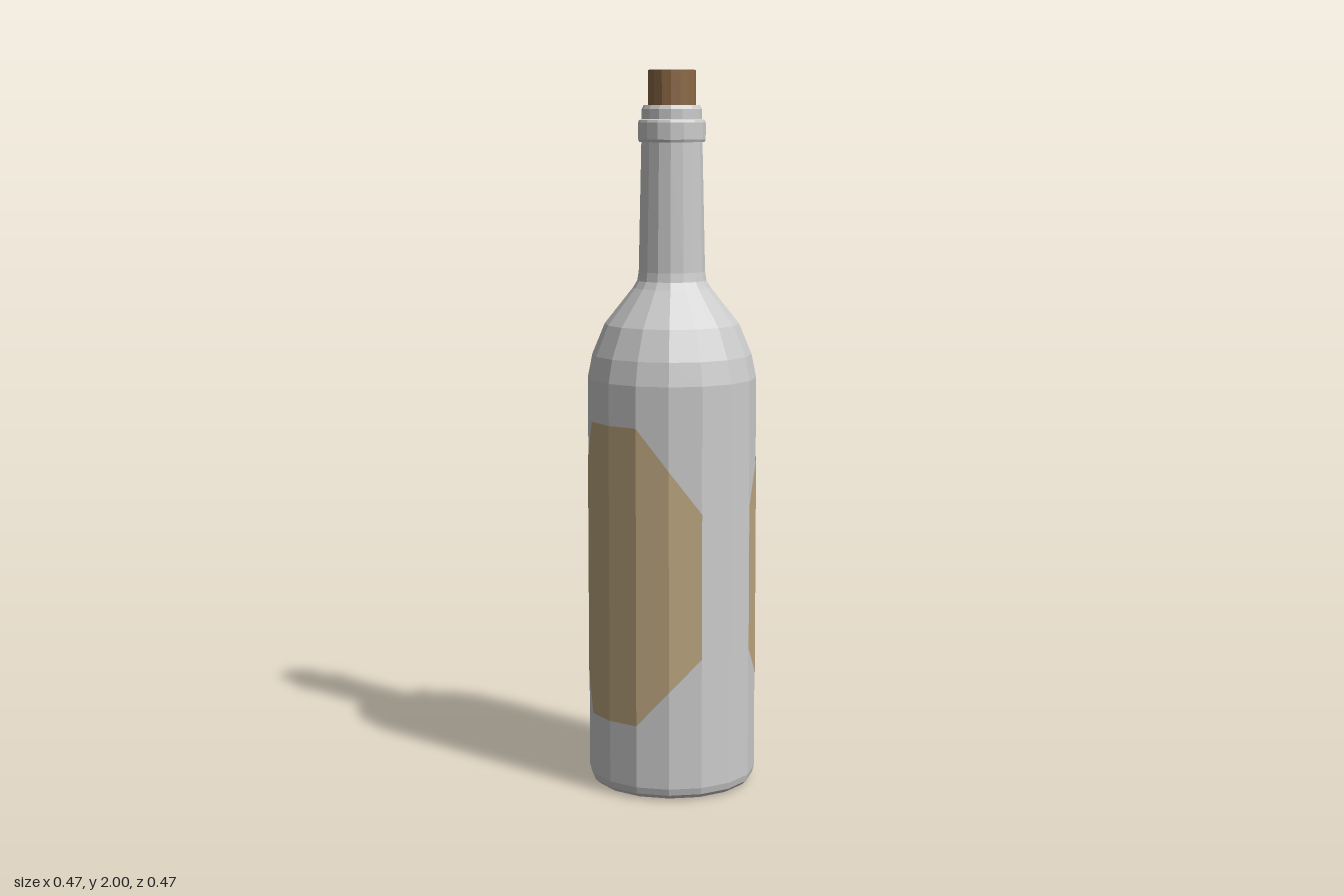
import * as THREE from 'three';

const SIDES = 16;

function material(color, side = THREE.FrontSide) {
  return new THREE.MeshStandardMaterial({ color, flatShading: true, side });
}

function part(name, geometry, mat) {
  const mesh = new THREE.Mesh(geometry, mat);
  mesh.name = name;
  return mesh;
}

function lathe(profile) {
  return new THREE.LatheGeometry(profile.map(([r, y]) => new THREE.Vector2(r, y)), SIDES);
}

// Label wrapped over six facets, with its corners cut off
function labelGeometry(radius) {
  const spans = [[0.21, 1.04], [0.21, 1.04], [0.31, 0.925], [0.4, 0.805]]; // [bottom, top] outward from centre
  const positions = [];
  const index = [];
  for (let k = -3; k <= 3; k++) {
    const angle = (k / SIDES) * Math.PI * 2;
    for (const y of spans[Math.abs(k)]) {
      positions.push(radius * Math.sin(angle), y, radius * Math.cos(angle));
    }
    if (k < 3) {
      const a = (k + 3) * 2;
      index.push(a, a + 2, a + 3, a, a + 3, a + 1);
    }
  }
  const geometry = new THREE.BufferGeometry();
  geometry.setAttribute('position', new THREE.Float32BufferAttribute(positions, 3));
  geometry.setIndex(index);
  geometry.computeVertexNormals();
  return geometry;
}

export function createModel() {
  const model = new THREE.Group();
  model.name = 'bottle';
  const glass = material(0xcccccc);

  // Body with hollow underside, shoulder and neck
  model.add(part('bottleBody', lathe([
    [0, 0.11], [0.06, 0.1], [0.13, 0.055], [0.185, 0.01],
    [0.2, 0], [0.217, 0.004], [0.23, 0.016], [0.235, 0.035],
    [0.235, 1.155], [0.222, 1.22], [0.187, 1.305], [0.108, 1.405],
    [0.096, 1.425], [0.092, 1.45], [0.084, 1.81],
  ]), glass));

  // Collar and lip around the mouth
  model.add(part('neckRing', lathe([
    [0.08, 1.805], [0.09, 1.805], [0.093, 1.812], [0.093, 1.858],
    [0.09, 1.865], [0.083, 1.867], [0.083, 1.894], [0.077, 1.905],
    [0.066, 1.905], [0.064, 1.86],
  ]), glass));

  // Cork, continuing a little way into the neck
  const cork = part('cork', new THREE.CylinderGeometry(0.066, 0.066, 0.16, SIDES), material(0x8b6844));
  cork.position.y = 1.92;
  model.add(cork);

  // Matching labels on front and back
  const labelMaterial = material(0xbca67f, THREE.DoubleSide);
  const geometry = labelGeometry(0.2362);
  ['frontLabel', 'backLabel'].forEach((name, i) => {
    const label = part(name, geometry, labelMaterial);
    label.rotation.y = i * Math.PI;
    model.add(label);
  });

  return model;
}
